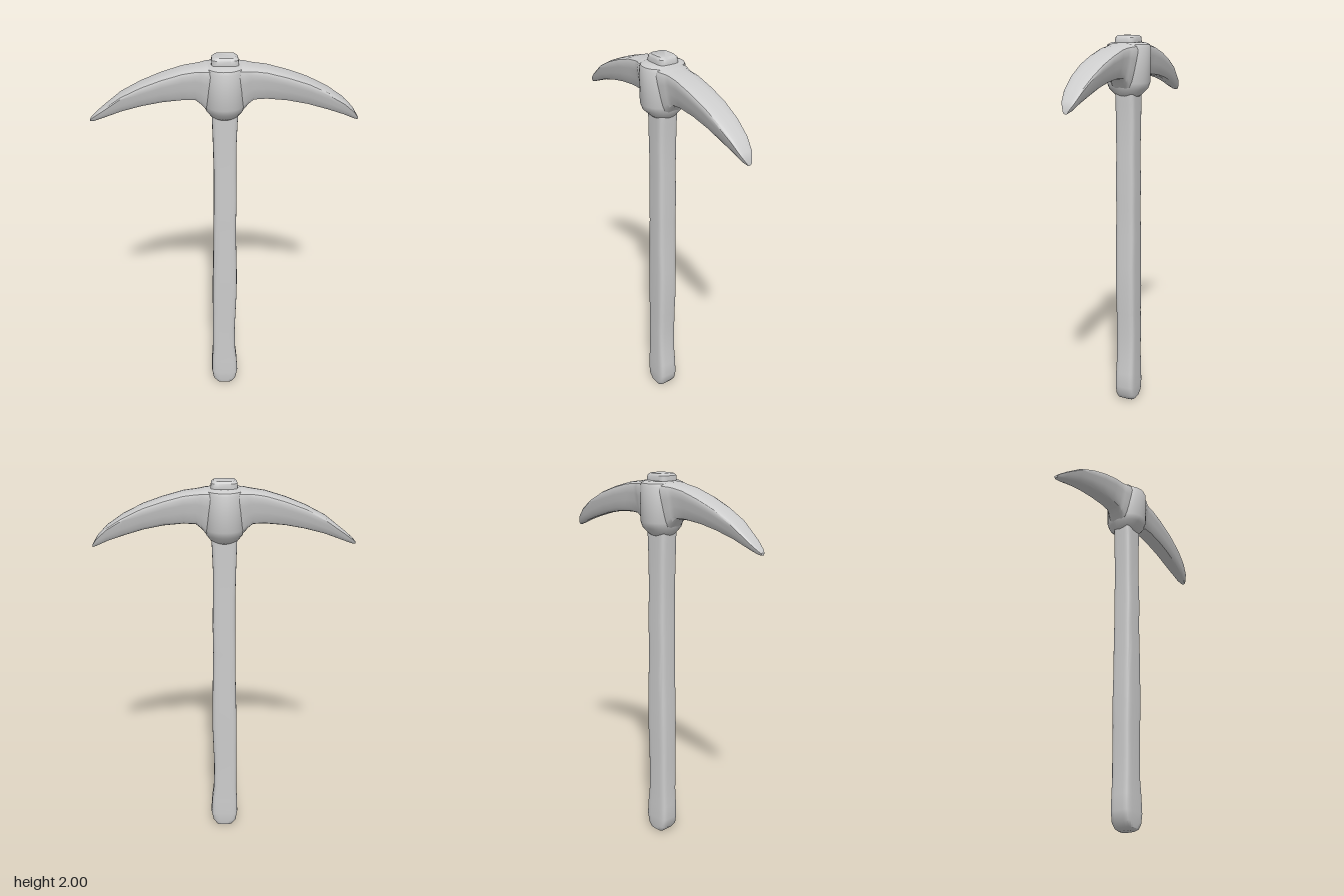
import * as THREE from 'three';
import { toCreasedNormals } from 'three/addons/utils/BufferGeometryUtils.js';

// Skin a list of rings (equal point counts) and close both ends
function loft(rings, crease = 0.7) {
  const n = rings[0].length, pos = [], idx = [];
  rings.forEach(r => r.forEach(p => pos.push(...p)));
  for (let i = 0; i < rings.length - 1; i++) {
    for (let j = 0; j < n; j++) {
      const a = i * n + j, b = i * n + (j + 1) % n;
      idx.push(a, a + n, b, b, a + n, b + n);
    }
  }
  const last = (rings.length - 1) * n;
  for (let j = 1; j < n - 1; j++) {
    idx.push(0, j, j + 1);
    idx.push(last, last + j + 1, last + j);
  }
  const g = new THREE.BufferGeometry();
  g.setAttribute('position', new THREE.Float32BufferAttribute(pos, 3));
  g.setIndex(idx);
  return toCreasedNormals(g, crease);
}

// Horizontal superellipse ring: e = 1 is an ellipse, smaller is squarer
function ring(y, x0, x1, hz, e, n = 24) {
  const cx = (x0 + x1) / 2, hx = (x1 - x0) / 2;
  const pw = v => Math.sign(v) * Math.pow(Math.abs(v), e);
  return Array.from({ length: n }, (_, i) => {
    const t = (i + 0.5) / n * Math.PI * 2;
    return [cx + hx * pw(Math.cos(t)), y, hz * pw(Math.sin(t))];
  });
}

export function createModel() {
  const model = new THREE.Group();
  const grey = new THREE.MeshStandardMaterial({ color: 0xcccccc });
  grey.name = 'plain grey';
  const add = (name, geometry) => {
    const mesh = new THREE.Mesh(geometry, grey);
    mesh.name = name;
    model.add(mesh);
  };

  // Hand-carved shaft with a swollen, rounded grip end: [y, left x, right x, half depth]
  const shaft = [
    [0, -0.025, 0.025, 0.035], [0.012, -0.045, 0.045, 0.05], [0.04, -0.067, 0.065, 0.055],
    [0.09, -0.075, 0.075, 0.056], [0.17, -0.073, 0.07, 0.055], [0.26, -0.068, 0.06, 0.053],
    [0.4, -0.068, 0.058, 0.054], [0.52, -0.067, 0.062, 0.053], [0.66, -0.067, 0.067, 0.056],
    [0.8, -0.064, 0.066, 0.054], [0.95, -0.06, 0.062, 0.055], [1.1, -0.059, 0.06, 0.053],
    [1.25, -0.057, 0.062, 0.055], [1.4, -0.056, 0.059, 0.052], [1.55, -0.059, 0.059, 0.054],
    [1.66, -0.062, 0.063, 0.054], [1.72, -0.064, 0.066, 0.055], [1.97, -0.064, 0.068, 0.054],
    [1.99, -0.062, 0.064, 0.053], [2, -0.05, 0.052, 0.044],
  ];
  add('handle', loft(shaft.map(([y, a, b, hz]) => ring(y, a, b, hz, 0.4))));

  // Rounded socket around the shaft: [y, half width, half depth]
  const socket = [
    [1.695, 0.06, 0.055], [1.705, 0.07, 0.068], [1.735, 0.092, 0.1], [1.765, 0.1, 0.112],
    [1.94, 0.1, 0.114], [1.955, 0.095, 0.108], [1.965, 0.075, 0.085],
  ];
  add('socket', loft(socket.map(([y, hx, hz]) => ring(y, -hx, hx, hz, 0.95, 32))));

  // Curved pick blade, tapering to both tips: [x, bottom y, top y, half depth]
  const blade = [
    [-0.655, 1.68, 1.692, 0.012], [-0.64, 1.682, 1.708, 0.022], [-0.6, 1.697, 1.742, 0.036],
    [-0.5, 1.735, 1.82, 0.052], [-0.4, 1.762, 1.872, 0.06], [-0.3, 1.781, 1.912, 0.066],
    [-0.2, 1.79, 1.943, 0.068], [-0.14, 1.788, 1.953, 0.069], [-0.115, 1.768, 1.957, 0.073],
    [-0.09, 1.74, 1.962, 0.085], [0.09, 1.74, 1.962, 0.085], [0.115, 1.768, 1.957, 0.073],
    [0.14, 1.788, 1.953, 0.069], [0.2, 1.792, 1.945, 0.069], [0.3, 1.783, 1.917, 0.068],
    [0.4, 1.763, 1.882, 0.065], [0.5, 1.733, 1.832, 0.059], [0.58, 1.705, 1.778, 0.048],
    [0.63, 1.682, 1.727, 0.034], [0.655, 1.672, 1.686, 0.014],
  ];
  // Half section from the crown down: [height fraction, depth fraction]
  const half = [[1, 0.3], [0.98, 0.7], [0.93, 0.93], [0.84, 1], [0.65, 0.93],
    [0.4, 0.82], [0.15, 0.68], [0.04, 0.55], [0, 0.3]];
  const section = [...half.map(([v, w]) => [v, -w]), ...half.slice().reverse()];
  add('blade', loft(blade.map(([x, lo, hi, hz]) =>
    section.map(([v, w]) => [x, lo + (hi - lo) * v, hz * w]))));

  return model;
}
